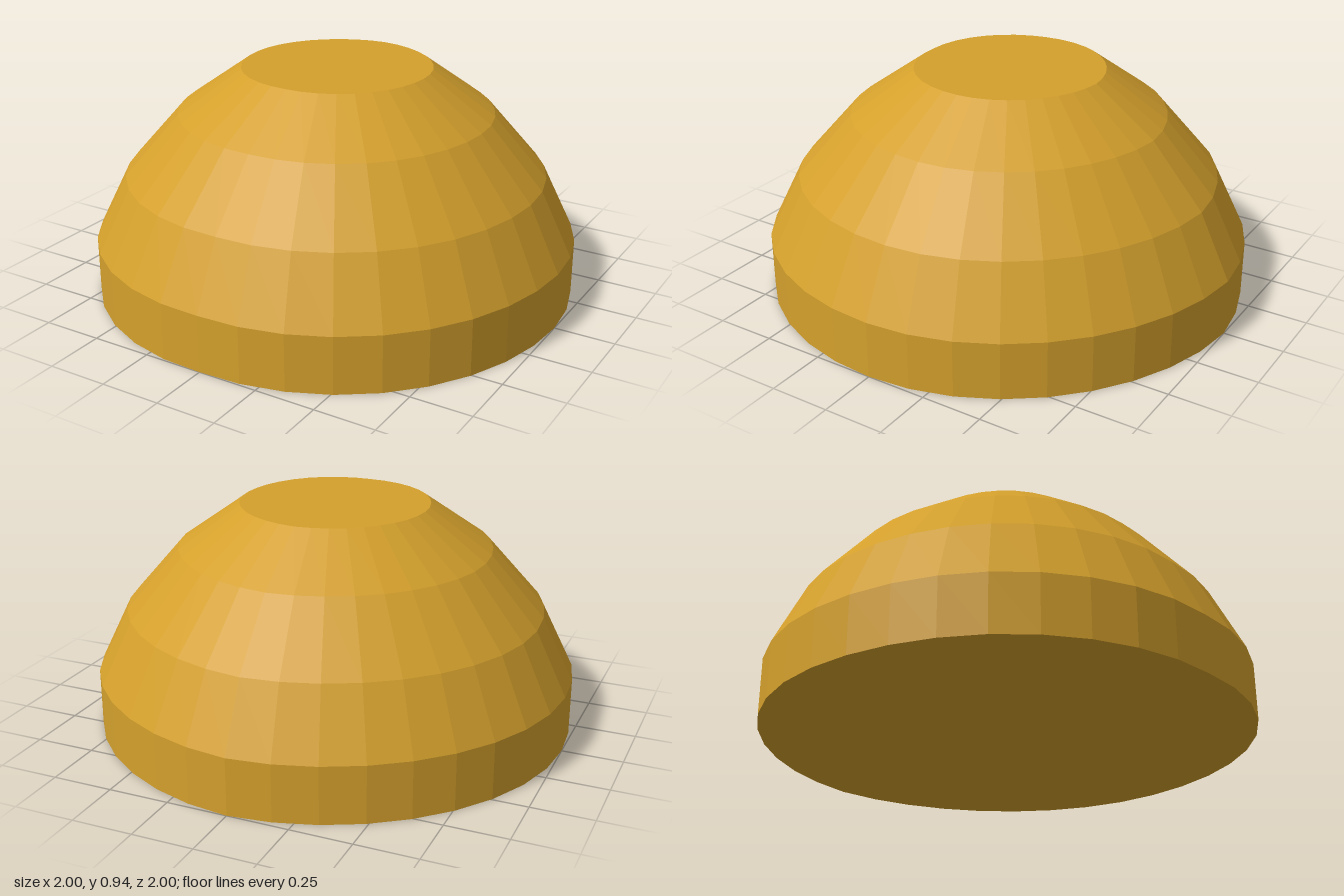
import * as THREE from 'three';

export function createModel() {
  const group = new THREE.Group();
  group.name = 'facetedDome';
  const gold = new THREE.MeshStandardMaterial({ color: 0xd4a02c, flatShading: true });
  gold.name = 'gold';

  // Closed profile: flat base, short upright rim, stepped dome, flat top
  const profile = [[0, 0], [1, 0], [1, 0.235], [0.87, 0.5], [0.65, 0.752], [0.392, 0.935], [0, 0.935]]
    .map(([r, y]) => new THREE.Vector2(r, y));
  const geometry = new THREE.LatheGeometry(profile, 36);

  // Slightly fuller front corners and leaner back corners
  const pos = geometry.attributes.position;
  for (let i = 0; i < pos.count; i++) {
    const x = pos.getX(i), z = pos.getZ(i);
    const a = Math.atan2(x, z);
    const s = 1 + 0.022 * Math.cos(a) * Math.abs(Math.sin(2 * a));
    pos.setX(i, x * s);
    pos.setZ(i, z * s);
  }
  geometry.computeVertexNormals();

  const dome = new THREE.Mesh(geometry, gold);
  dome.name = 'dome';
  group.add(dome);
  return group;
}
